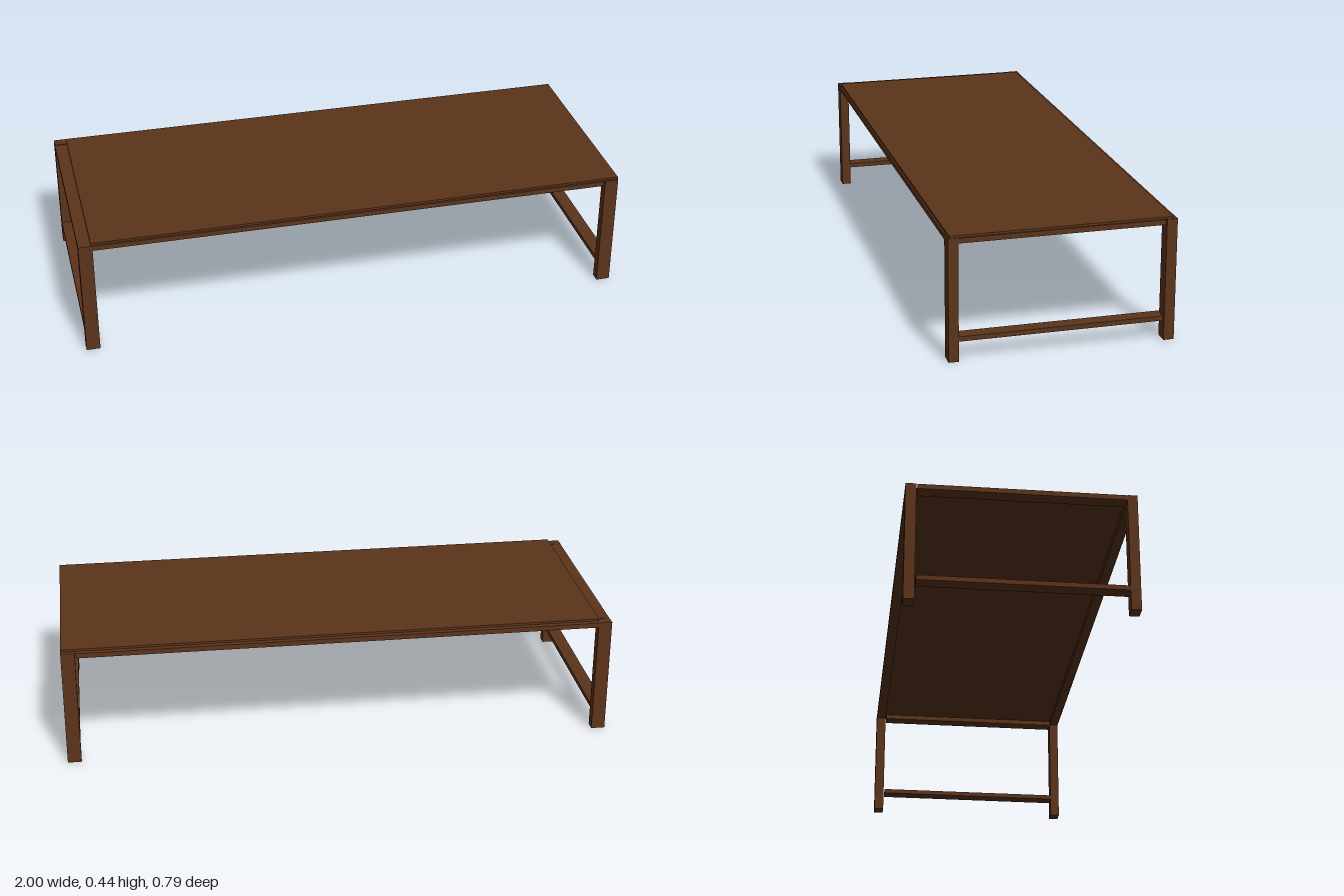
import * as THREE from 'three';

export function createModel() {
  const table = new THREE.Group();
  table.name = 'lowTable';
  const wood = new THREE.MeshStandardMaterial({ color: 0x5c341b });

  // Box given by its lower and upper limits on each axis
  function board(name, [x0, x1], [y0, y1], [z0, z1]) {
    const mesh = new THREE.Mesh(new THREE.BoxGeometry(x1 - x0, y1 - y0, z1 - z0), wood);
    mesh.position.set((x0 + x1) / 2, (y0 + y1) / 2, (z0 + z1) / 2);
    mesh.name = name;
    table.add(mesh);
  }

  const sides = { left: [0.95, 1], right: [-1, -0.95] };
  const ends = { front: [0.36, 0.395], back: [-0.395, -0.358] };
  const railY = [0.417, 0.435];

  // Four legs, with an upper rail and a low stretcher joining each pair
  for (const [side, x] of Object.entries(sides)) {
    for (const [end, z] of Object.entries(ends)) board(`${end}${side}Leg`, x, [0, 0.436], z);
    board(`${side}UpperRail`, x, railY, [-0.354, 0.36]);
    board(`${side}Stretcher`, x, [0.072, 0.089], [-0.354, 0.36]);
  }

  // Long rails under the front and back edges
  for (const [end, z] of Object.entries(ends)) board(`${end}LongRail`, [-0.95, 0.946], railY, z);

  // Thin top, set slightly off centre on the frame
  board('tableTop', [-0.955, 1], [0.437, 0.445], [-0.379, 0.39]);

  return table;
}
